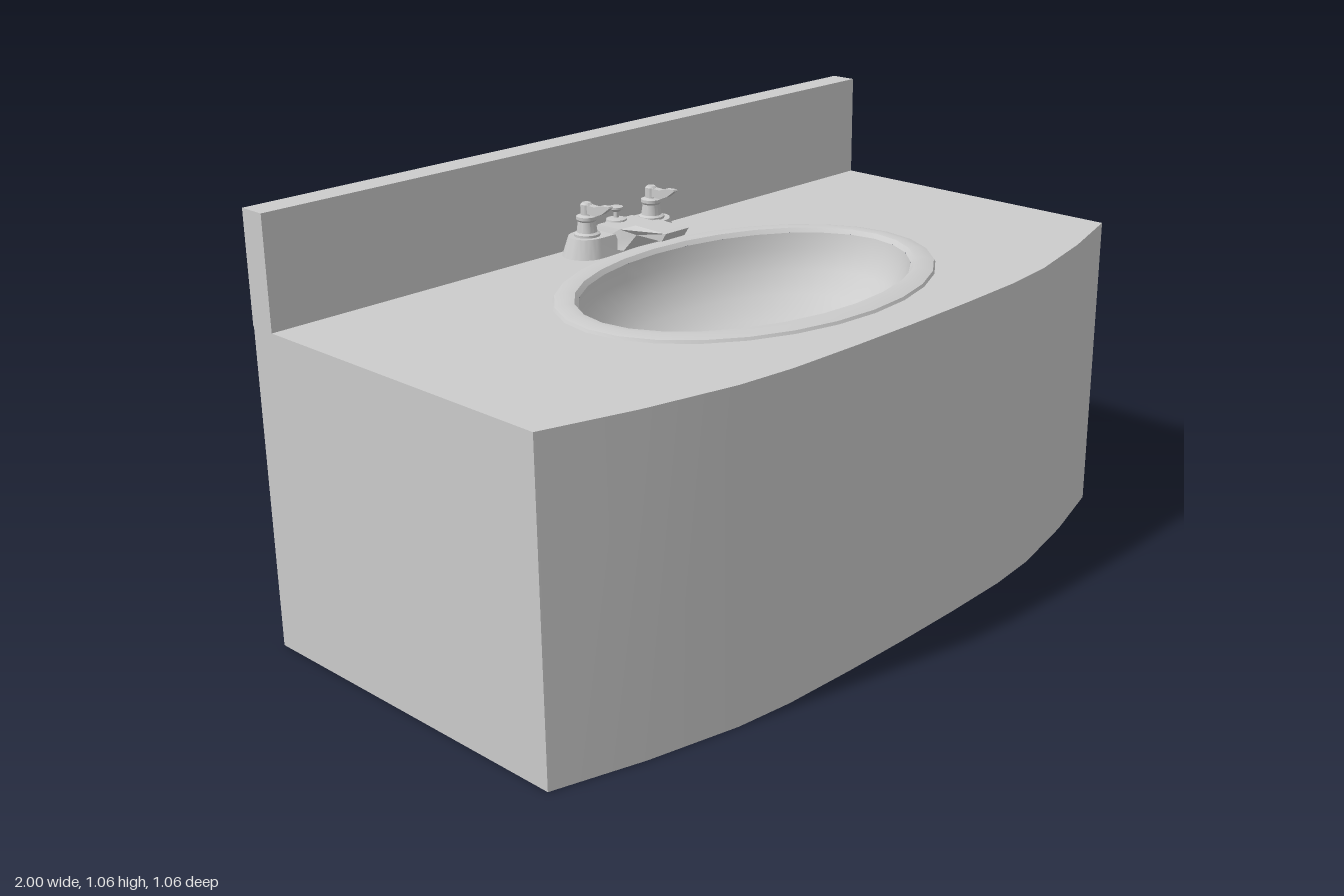
import * as THREE from 'three';
import { toCreasedNormals } from 'three/addons/utils/BufferGeometryUtils.js';

const material = new THREE.MeshStandardMaterial({ color: 0xcccccc, roughness: 0.6 });
const doubleSided = material.clone();
doubleSided.side = THREE.DoubleSide;

const TOP = 0.79; // counter height
const BASIN_Z = 0.04;

function addMesh(parent, name, geometry, x = 0, y = 0, z = 0, mat = material) {
  const mesh = new THREE.Mesh(geometry, mat);
  mesh.name = name;
  mesh.position.set(x, y, z);
  parent.add(mesh);
  return mesh;
}

// Moves every vertex of a geometry by a rule
function deform(geometry, rule) {
  const pos = geometry.attributes.position;
  const v = new THREE.Vector3();
  for (let i = 0; i < pos.count; i++) {
    rule(v.fromBufferAttribute(pos, i), i);
    pos.setXYZ(i, v.x, v.y, v.z);
  }
  return geometry;
}

// Elliptical rings [rx, rz, y] joined into one surface
function ellipseLoft(rings, segments, crease) {
  const lathe = new THREE.LatheGeometry(rings.map(([rx, , y]) => new THREE.Vector2(rx, y)), segments);
  deform(lathe, (v, i) => {
    const [rx, rz] = rings[i % rings.length];
    v.z *= rx > 0 ? rz / rx : 1;
  });
  return toCreasedNormals(lathe, crease);
}

// Side profile of [z, y] points, extruded along x and centred
function sideExtrude(points, width) {
  const shape = new THREE.Shape(points.map(([z, y]) => new THREE.Vector2(z, y)));
  const geometry = new THREE.ExtrudeGeometry(shape, { depth: width, bevelEnabled: false });
  return geometry.translate(0, 0, -width / 2).rotateY(-Math.PI / 2);
}

// Cabinet outline in plan, as (x, -z), with a bowed front
function cabinetOutline() {
  const half = [[0, 0.53], [0.2, 0.528], [0.4, 0.522], [0.55, 0.506], [0.78, 0.455], [1, 0.39]];
  const left = half.slice(1).reverse().map(([x, z]) => new THREE.Vector2(-x, -z));
  const right = half.map(([x, z]) => new THREE.Vector2(x, -z));
  return [...left, ...right, new THREE.Vector2(1, 0.53), new THREE.Vector2(-1, 0.53)];
}

function buildCabinet() {
  const cabinet = new THREE.Group();
  cabinet.name = 'cabinet';
  const outline = cabinetOutline();

  // Walls
  const corners = [];
  outline.forEach((a, i) => {
    const b = outline[(i + 1) % outline.length];
    const a0 = [a.x, 0, -a.y], b0 = [b.x, 0, -b.y];
    const a1 = [a.x, TOP, -a.y], b1 = [b.x, TOP, -b.y];
    corners.push(...a0, ...b0, ...b1, ...a0, ...b1, ...a1);
  });
  const walls = new THREE.BufferGeometry();
  walls.setAttribute('position', new THREE.Float32BufferAttribute(corners, 3));
  addMesh(cabinet, 'cabinetWalls', toCreasedNormals(walls, 0.6));

  // Floor and countertop, the latter with the basin opening
  const floor = new THREE.ShapeGeometry(new THREE.Shape(outline)).rotateX(-Math.PI / 2);
  addMesh(cabinet, 'cabinetFloor', floor, 0, 0, 0, doubleSided);
  const counter = new THREE.Shape(outline);
  const hole = new THREE.Path();
  hole.absellipse(0, -BASIN_Z, 0.5, 0.345, 0, Math.PI * 2, true);
  counter.holes.push(hole);
  addMesh(cabinet, 'countertop', new THREE.ShapeGeometry(counter, 24).rotateX(-Math.PI / 2), 0, TOP, 0);

  // Backsplash
  addMesh(cabinet, 'backsplash', new THREE.BoxGeometry(2, 1.06 - TOP, 0.07), 0, (1.06 + TOP) / 2, -0.4975);
  return cabinet;
}

function buildBasin() {
  const basin = new THREE.Group();
  basin.name = 'basin';
  basin.position.set(0, TOP, BASIN_Z);
  const rim = [[0.535, 0.382, -0.002], [0.53, 0.377, 0.007], [0.505, 0.35, 0.013], [0.485, 0.325, 0.011], [0.475, 0.316, 0]];
  addMesh(basin, 'basinRim', ellipseLoft(rim, 28, 0.7));

  // Bowl blends from an ellipse into the round drain
  const bowl = [[0.475, 0.316, 0], [0.465, 0.308, -0.04], [0.435, 0.287, -0.09], [0.375, 0.247, -0.14],
    [0.28, 0.185, -0.18], [0.16, 0.115, -0.2], [0.05, 0.05, -0.21]];
  addMesh(basin, 'basinBowl', ellipseLoft(bowl, 48, 1), 0, 0, 0, doubleSided);
  const drain = [[0.05, 0.05, -0.21], [0.043, 0.043, -0.222], [0.025, 0.025, -0.236], [0, 0, -0.242]];
  addMesh(basin, 'drain', ellipseLoft(drain, 20, 1), 0, 0, 0, doubleSided);
  return basin;
}

function buildHandle(side) {
  const handle = new THREE.Group();
  handle.name = side > 0 ? 'leftHandle' : 'rightHandle';
  handle.position.set(side * 0.113, TOP, -0.403);
  const profile = [[0.033, 0.045], [0.033, 0.054], [0.026, 0.058], [0.022, 0.085], [0.026, 0.09],
    [0.026, 0.098], [0.015, 0.102], [0.015, 0.128], [0.011, 0.132], [0, 0.132]];
  const stem = new THREE.LatheGeometry(profile.map(([r, y]) => new THREE.Vector2(r, y)), 16);
  addMesh(handle, 'handleStem', toCreasedNormals(stem, 0.6));
  // Lever reaching forward, narrower toward the tip
  const lever = sideExtrude([[-0.005, 0.106], [0.04, 0.104], [0.062, 0.113], [0.088, 0.132], [0.086, 0.136],
    [0.058, 0.134], [0.038, 0.127], [-0.005, 0.128]], 0.02);
  deform(lever, (v) => { v.x *= 1 - 3.5 * Math.max(0, v.z); });
  addMesh(handle, 'handleLever', toCreasedNormals(lever, 0.6));
  return handle;
}

function buildFaucet() {
  const faucet = new THREE.Group();
  faucet.name = 'faucet';

  // Stadium-shaped base plate with sloping sides
  const r = 0.058, c = 0.12;
  const plate = new THREE.Shape();
  plate.absarc(c, 0, r, -Math.PI / 2, Math.PI / 2, false);
  plate.absarc(-c, 0, r, Math.PI / 2, Math.PI * 1.5, false);
  const base = new THREE.ExtrudeGeometry(plate, { depth: 0.048, bevelEnabled: false, curveSegments: 12 });
  base.rotateX(-Math.PI / 2);
  deform(base, (v) => {
    if (v.y > 0.02) { v.x *= 0.91; v.z *= 0.8; }
  });
  addMesh(faucet, 'faucetBase', toCreasedNormals(base, 0.6), 0, TOP, -0.403);

  // Spout, flaring where it meets the base
  const spout = sideExtrude([[-0.42, 0.8], [-0.33, 0.8], [-0.302, 0.842], [-0.215, 0.842], [-0.2, 0.864],
    [-0.305, 0.866], [-0.345, 0.852], [-0.42, 0.852]], 0.08);
  deform(spout, (v) => {
    const back = THREE.MathUtils.clamp((-0.31 - v.z) / 0.04, 0, 1);
    v.x *= 1 + back * (v.y < 0.82 ? 0.95 : 0.5);
  });
  addMesh(faucet, 'spout', toCreasedNormals(spout, 0.6));

  // Drain pull knob
  const knob = [[0.03, 0.045], [0.026, 0.066], [0.007, 0.07], [0.007, 0.084], [0.018, 0.092], [0.018, 0.097], [0, 0.1]];
  const pull = new THREE.LatheGeometry(knob.map(([x, y]) => new THREE.Vector2(x, y)), 14);
  addMesh(faucet, 'drainPull', toCreasedNormals(pull, 0.6), 0, TOP, -0.415);

  for (const side of [-1, 1]) faucet.add(buildHandle(side));
  return faucet;
}

export function createModel() {
  const model = new THREE.Group();
  model.name = 'vanitySink';
  model.add(buildCabinet(), buildBasin(), buildFaucet());
  return model;
}
